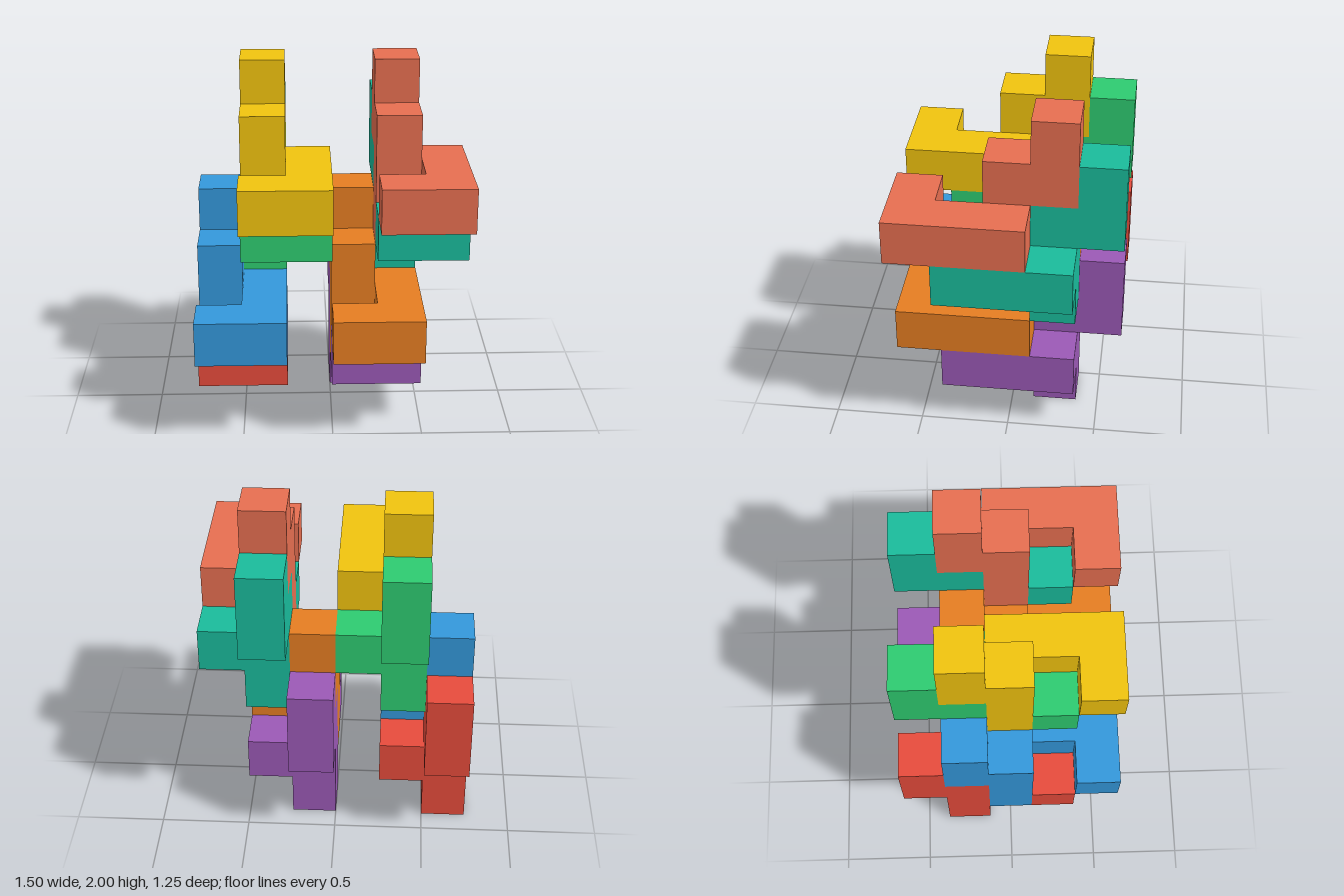
import * as THREE from 'three';
import { mergeGeometries } from 'three/addons/utils/BufferGeometryUtils.js';

const UNIT = 0.25;

// Cells [x, y, z] of one piece: foot, U-shaped clasp, then a stepped neck
const CELLS = [
  [0, 0, 1],
  [0, 1, 1], [1, 1, 1], [1, 1, 2], [1, 1, 3], [0, 1, 3],
  [0, 2, 1], [0, 2, 0],
  [0, 3, 0],
];

// Outward direction and the turn that makes a plane face that way
const SIDES = [
  [[0, 0, 1], [0, 0, 0]],
  [[0, 0, -1], [0, Math.PI, 0]],
  [[1, 0, 0], [0, Math.PI / 2, 0]],
  [[-1, 0, 0], [0, -Math.PI / 2, 0]],
  [[0, 1, 0], [-Math.PI / 2, 0, 0]],
  [[0, -1, 0], [Math.PI / 2, 0, 0]],
];

// Outer skin of the piece: one square per exposed cell side
function pieceGeometry() {
  const filled = new Set(CELLS.map((c) => c.join()));
  const squares = [];
  for (const cell of CELLS) {
    for (const [dir, turn] of SIDES) {
      if (filled.has(cell.map((v, i) => v + dir[i]).join())) continue;
      const square = new THREE.PlaneGeometry(UNIT, UNIT);
      square.rotateX(turn[0]).rotateY(turn[1]);
      const [x, y, z] = cell.map((v, i) => (v + 0.5 + dir[i] / 2) * UNIT);
      squares.push(square.translate(x, y, z));
    }
  }
  return mergeGeometries(squares);
}

export function createModel() {
  const group = new THREE.Group();
  group.name = 'interlockingBlocks';
  const geometry = pieceGeometry();

  // Each piece: name, colour, offset in cells; upper pieces plug into lower clasps
  const pieces = [
    ['redPiece', 0xe74c3c, 0, 0, 0],
    ['bluePiece', 0x3498db, 0, 1, 1],
    ['greenPiece', 0x2ecc71, 1, 3, 0],
    ['yellowPiece', 0xf1c40f, 1, 4, 1],
    ['purplePiece', 0x9b59b6, 3, 0, 0],
    ['orangePiece', 0xe67e22, 3, 1, 1],
    ['tealPiece', 0x1abc9c, 4, 3, 0],
    ['coralPiece', 0xe76f51, 4, 4, 1],
  ];
  for (const [name, color, x, y, z] of pieces) {
    const mesh = new THREE.Mesh(geometry, new THREE.MeshStandardMaterial({ color }));
    mesh.name = name;
    mesh.position.set((x - 3) * UNIT, y * UNIT, (z - 2.5) * UNIT);
    group.add(mesh);
  }
  return group;
}
